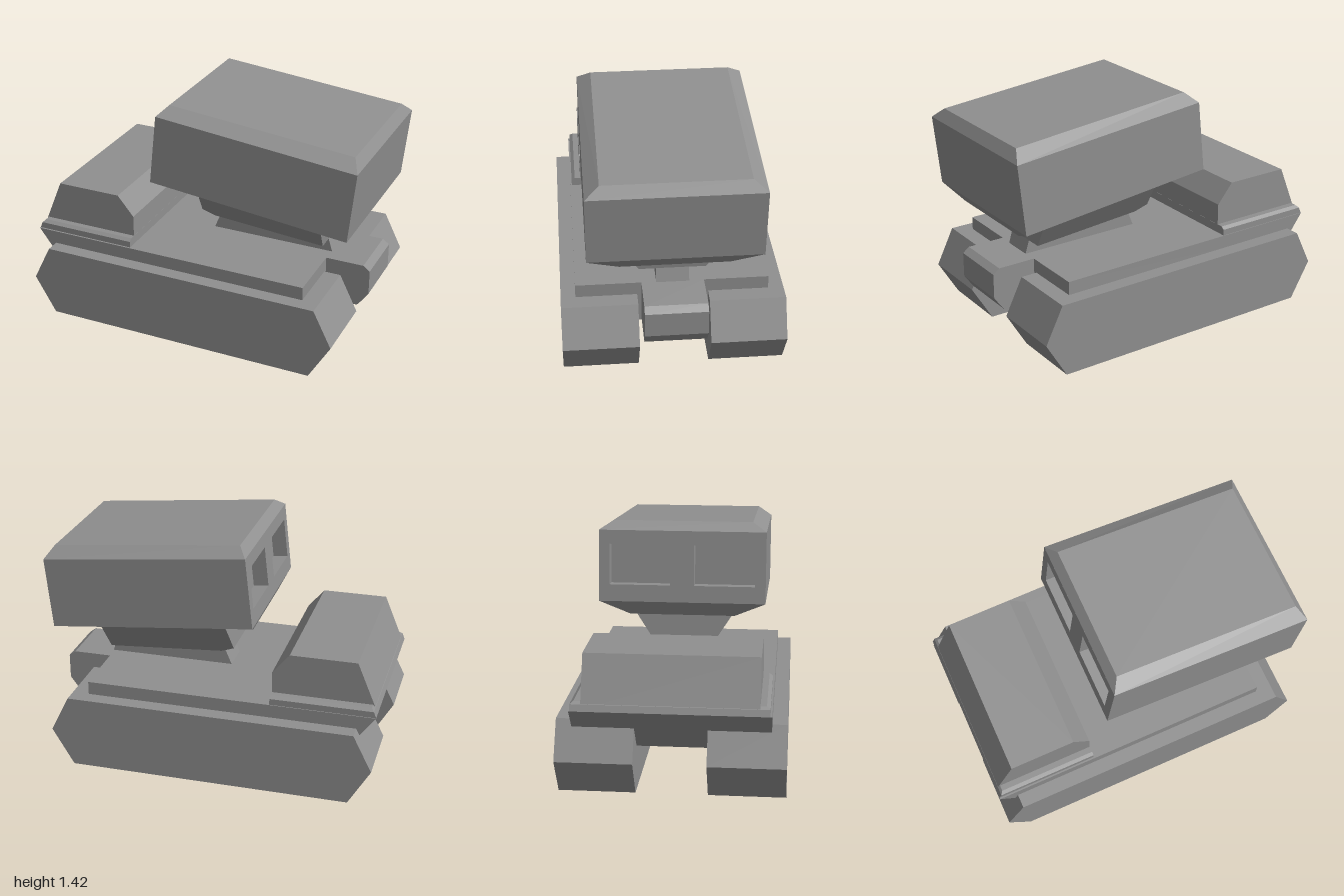
import * as THREE from 'three';

const material = new THREE.MeshStandardMaterial({ color: 0x909090, flatShading: true });

function add(group, name, geometry) {
  const mesh = new THREE.Mesh(geometry, material);
  mesh.name = name;
  group.add(mesh);
  return mesh;
}

// Side profile in x and y, extruded across z from z0 to z1
function slab(points, z0, z1) {
  const shape = new THREE.Shape(points.map(([x, y]) => new THREE.Vector2(x, y)));
  const geometry = new THREE.ExtrudeGeometry(shape, { depth: z1 - z0, bevelEnabled: false });
  return geometry.translate(0, 0, z0);
}

// Stack of rectangular rings, bottom to top: [left x, left y, right x, right y, half width]
function loft(rings, openLevel = -1) {
  const corners = rings.map(([xl, yl, xr, yr, z]) =>
    [[xl, yl, z], [xr, yr, z], [xr, yr, -z], [xl, yl, -z]]);
  const positions = [];
  const quad = (a, b, c, d) => positions.push(...a, ...b, ...c, ...a, ...c, ...d);
  for (let k = 0; k < corners.length - 1; k++) {
    for (let i = 0; i < 4; i++) {
      if (k === openLevel && i === 3) continue; // leave the -x end open
      const j = (i + 1) % 4;
      quad(corners[k][i], corners[k][j], corners[k + 1][j], corners[k + 1][i]);
    }
  }
  quad(...[...corners[0]].reverse());
  quad(...corners[corners.length - 1]);
  const geometry = new THREE.BufferGeometry();
  geometry.setAttribute('position', new THREE.Float32BufferAttribute(positions, 3));
  geometry.computeVertexNormals();
  return geometry;
}

// Slab whose sides lean outward towards the launcher's underside
function flaredNeck() {
  const geometry = slab([[-0.07, 0.675], [0.01, 0.64], [0.71, 0.6], [0.73, 0.78], [-0.05, 0.86]], -1, 1);
  const p = geometry.attributes.position;
  for (let i = 0; i < p.count; i++) {
    const drop = 0.855 - 0.1026 * p.getX(i) - p.getY(i);
    p.setZ(i, p.getZ(i) * (0.31 - 0.64 * drop));
  }
  geometry.computeVertexNormals();
  return geometry;
}

function rectangle(PathType, x0, y0, x1, y1) {
  return new PathType([[x0, y0], [x1, y0], [x1, y1], [x0, y1]].map(([x, y]) => new THREE.Vector2(x, y)));
}

export function createModel() {
  const model = new THREE.Group();
  model.name = 'trackedLauncher';

  // Tracks
  const trackProfile = [[-0.87, 0], [0.81, 0], [0.94, 0.22], [0.83, 0.44], [-0.89, 0.44], [-1, 0.22]];
  add(model, 'leftTrack', slab(trackProfile, 0.205, 0.645));
  add(model, 'rightTrack', slab(trackProfile, -0.645, -0.205));

  // Hull: wide deck, end walls between the tracks, and nose
  add(model, 'deck', slab([[-0.91, 0.4], [0.73, 0.4], [0.73, 0.52], [-1, 0.52]], -0.555, 0.56));
  add(model, 'rearWall', slab([[-0.8, 0.256], [-0.78, 0.256], [-0.88, 0.41], [-0.917, 0.41]], -0.207, 0.207));
  add(model, 'frontWall', slab([[0.7, 0.256], [0.729, 0.256], [0.729, 0.41], [0.7, 0.41]], -0.207, 0.207));
  add(model, 'nose', slab(
    [[0.729, 0.256], [0.94, 0.256], [1, 0.34], [1, 0.49], [0.96, 0.52], [0.729, 0.52]], -0.18, 0.18));

  // Cabin with a bevelled ledge around its foot
  add(model, 'cabin', slab(
    [[-0.995, 0.53], [-0.38, 0.53], [-0.38, 0.7], [-0.48, 0.82], [-0.875, 0.82]], -0.49, 0.495));
  add(model, 'cabinLedge', loft([
    [-1, 0.52, -0.379, 0.52, 0.55],
    [-0.985, 0.557, -0.379, 0.557, 0.55],
    [-0.97, 0.572, -0.379, 0.572, 0.53],
  ]));

  // Turntable and flared neck
  add(model, 'turntable', loft([
    [-0.03, 0.52, 0.735, 0.52, 0.095],
    [0.02, 0.64, 0.71, 0.601, 0.095],
  ]));
  add(model, 'neck', flaredNeck());

  // Tilted launcher box, open at its muzzle end
  const launcher = new THREE.Group();
  launcher.name = 'launcher';
  launcher.position.z = 0.003;
  model.add(launcher);
  add(launcher, 'launcherBox', loft([
    [-0.22, 0.87, 0.9, 0.755, 0.31],
    [-0.26, 0.955, 0.955, 0.83, 0.492],
    [-0.215, 1.375, 0.998, 1.25, 0.492],
    [-0.165, 1.425, 0.955, 1.315, 0.41],
  ], 1));

  // Muzzle plate with two recessed openings and a back wall
  const muzzle = new THREE.Group();
  muzzle.name = 'muzzle';
  muzzle.position.set(-0.26, 0.955, 0);
  muzzle.rotation.z = -Math.atan2(0.045, 0.42);
  launcher.add(muzzle);
  const plate = rectangle(THREE.Shape, -0.492, 0, 0.492, 0.422);
  for (const z of [-0.43, 0.07]) plate.holes.push(rectangle(THREE.Path, z, 0.1, z + 0.36, 0.34));
  add(muzzle, 'muzzlePlate',
    new THREE.ExtrudeGeometry(plate, { depth: 0.09, bevelEnabled: false }).rotateY(Math.PI / 2));
  add(muzzle, 'recessWall', new THREE.BoxGeometry(0.02, 0.36, 0.94).translate(0.1, 0.21, 0));

  return model;
}
